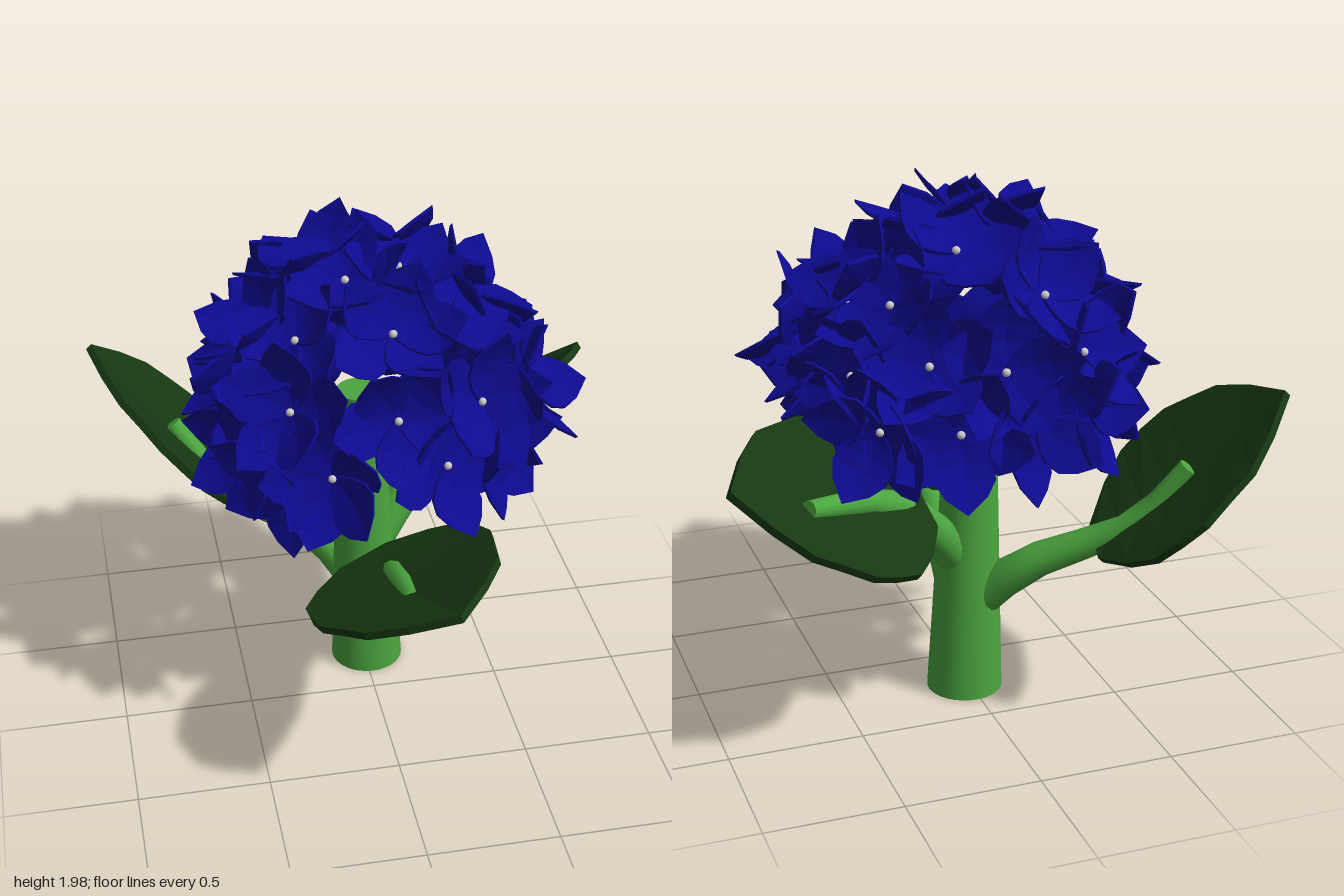
import * as THREE from 'three';

const V = (x, y, z) => new THREE.Vector3(x, y, z);
const material = (color, flatShading = false) =>
  new THREE.MeshStandardMaterial({ color, flatShading, side: THREE.DoubleSide });

const stemMat = material(0x4ba53f);
const leafMat = material(0x173812, true);
const petalMat = material(0x0e0a90, true);
const beadMat = material(0xcccccc);

// Seeded random numbers
let seed = 11;
const rnd = () => (seed = (seed * 16807) % 2147483647) / 2147483647;
const jitter = (a) => (rnd() - 0.5) * 2 * a;

// Half width (0..1) along a blade, linear between a few points
function profileAt(profile, u) {
  for (let i = 1; i < profile.length; i++) {
    const [u0, w0] = profile[i - 1], [u1, w1] = profile[i];
    if (u <= u1) return w0 + ((w1 - w0) * (u - u0)) / (u1 - u0);
  }
  return 0;
}

// Thin pointed plate along +x, width along y, lifted along z by a rule
function blade(length, halfWidth, thickness, profile, segments, lift) {
  const g = new THREE.BoxGeometry(1, 2, thickness, segments, 2);
  const p = g.attributes.position;
  for (let i = 0; i < p.count; i++) {
    const u = p.getX(i) + 0.5, v = p.getY(i);
    p.setXYZ(i, u * length, v * halfWidth * profileAt(profile, u), p.getZ(i) + lift(u, v));
  }
  g.computeVertexNormals();
  return g;
}

// Tube along a curve whose radius shrinks from r0 to r1, closed at its tip
function taperedBranch(name, points, r0, r1) {
  const curve = new THREE.CatmullRomCurve3(points);
  const rings = 6, sides = 14;
  const g = new THREE.TubeGeometry(curve, rings, 1, sides);
  const p = g.attributes.position, v = V(0, 0, 0);
  for (let i = 0; i < p.count; i++) {
    const t = Math.floor(i / (sides + 1)) / rings;
    const c = curve.getPointAt(t);
    v.fromBufferAttribute(p, i).sub(c).multiplyScalar(r0 + (r1 - r0) * t).add(c);
    p.setXYZ(i, v.x, v.y, v.z);
  }
  const branch = new THREE.Group();
  branch.name = name;
  const tube = new THREE.Mesh(g, stemMat);
  tube.name = 'branchTube';
  const cap = new THREE.Mesh(new THREE.CircleGeometry(r1, sides), stemMat);
  cap.name = 'branchEnd';
  cap.position.copy(curve.getPointAt(1));
  cap.quaternion.setFromUnitVectors(V(0, 0, 1), curve.getTangentAt(1));
  branch.add(tube, cap);
  return branch;
}

// Leaf from base to tip; side points towards the blade's left edge
function leaf(name, base, tip, side) {
  const profile = [[0, 0.28], [0.125, 0.68], [0.25, 0.93], [0.4, 1], [0.5, 1], [0.75, 0.76], [0.875, 0.44], [1, 0]];
  const along = tip.clone().sub(base);
  const g = blade(along.length(), 0.36, 0.03, profile, 8,
    (u, v) => (0.025 - 0.055 * (1 - v * v)) * Math.sin(Math.PI * u));
  const x = along.normalize();
  const z = x.clone().cross(side).normalize();
  const y = z.clone().cross(x);
  const m = new THREE.Mesh(g, leafMat);
  m.name = name;
  m.quaternion.setFromRotationMatrix(new THREE.Matrix4().makeBasis(x, y, z));
  m.position.copy(base);
  return m;
}

// One blossom facing +z: five cupped, pointed petals and a small bead
const petalProfile = [[0, 0.12], [0.2, 0.6], [0.4, 0.95], [0.6, 1], [0.8, 0.68], [1, 0]];
const petalGeo = blade(0.255, 0.105, 0.012, petalProfile, 5,
  (u, v) => 0.09 * u * u + 0.03 * u - 0.015 * (1 - v * v) * Math.sin(Math.PI * u));
const beadGeo = new THREE.SphereGeometry(0.015, 10, 8);

function blossom() {
  const f = new THREE.Group();
  f.name = 'blossom';
  for (let i = 0; i < 5; i++) {
    const petal = new THREE.Mesh(petalGeo, petalMat);
    petal.name = 'petal';
    petal.rotation.set(jitter(0.25), jitter(0.2), (i / 5) * Math.PI * 2 + jitter(0.1), 'ZYX');
    petal.position.z = (i % 2) * 0.008;
    f.add(petal);
  }
  const bead = new THREE.Mesh(beadGeo, beadMat);
  bead.name = 'blossomCentre';
  bead.position.z = 0.02;
  f.add(bead);
  return f;
}

// Centres of the blossoms over the dome
const blossomCentres = [
  // crown
  [-0.09, 1.79, -0.06], [0.11, 1.79, -0.13], [-0.19, 1.77, -0.28], [0.1, 1.75, -0.38],
  // shoulder
  [0.04, 1.66, 0.12], [0.28, 1.65, 0.03], [0.4, 1.62, -0.2], [0.33, 1.58, -0.38],
  [-0.15, 1.62, -0.55], [-0.38, 1.57, -0.2], [-0.28, 1.6, 0.0],
  // middle
  [-0.33, 1.42, 0.18], [0.03, 1.4, 0.27], [0.33, 1.44, 0.26], [0.54, 1.4, 0.09], [0.53, 1.4, -0.17],
  [0.47, 1.35, -0.38], [0.26, 1.42, -0.58], [0.02, 1.4, -0.65], [-0.3, 1.4, -0.54], [-0.48, 1.4, -0.28],
  // lower rim
  [-0.2, 1.19, 0.27], [0.21, 1.19, 0.26], [0.42, 1.2, 0.18], [0.5, 1.2, -0.03], [0.5, 1.19, -0.3],
  [0.42, 1.2, -0.54], [0.18, 1.2, -0.66], [-0.09, 1.2, -0.67], [-0.33, 1.19, -0.55],
  [-0.46, 1.18, -0.26], [-0.47, 1.19, 0], [-0.39, 1.11, 0.15],
];

export function createModel() {
  seed = 11;
  const model = new THREE.Group();
  model.name = 'floweringPlant';

  // Main stem, leaning very slightly
  const stemGeo = new THREE.CylinderGeometry(0.088, 0.143, 1.25, 32);
  stemGeo.translate(0, 0.625, 0);
  const sp = stemGeo.attributes.position;
  for (let i = 0; i < sp.count; i++) sp.setX(i, sp.getX(i) - 0.02 * sp.getY(i));
  const stem = new THREE.Mesh(stemGeo, stemMat);
  stem.name = 'mainStem';
  stem.position.set(0.015, 0, -0.24);
  model.add(stem);

  // Side branches
  model.add(
    taperedBranch('frontBranch',
      [V(0.03, 0.36, -0.22), V(0.03, 0.5, -0.06), V(0.03, 0.68, 0.17), V(0.03, 0.76, 0.34), V(0.03, 0.82, 0.56)], 0.08, 0.035),
    taperedBranch('leftBranch',
      [V(0.04, 0.54, -0.25), V(0.22, 0.75, -0.33), V(0.4, 0.88, -0.42), V(0.71, 0.97, -0.61)], 0.08, 0.035),
    taperedBranch('rightBranch',
      [V(-0.01, 0.35, -0.26), V(-0.17, 0.53, -0.38), V(-0.38, 0.63, -0.47), V(-0.54, 0.73, -0.56), V(-0.7, 0.95, -0.63)], 0.08, 0.035),
  );

  // Leaves
  model.add(
    leaf('frontLeaf', V(-0.05, 0.68, 0.07), V(0.11, 1.02, 0.97), V(0.67, 0.26, 0)),
    leaf('leftLeaf', V(0.22, 0.82, -0.38), V(1, 1.1, -0.69), V(-0.05, -0.36, -0.64)),
    leaf('rightLeaf', V(-0.41, 0.63, -0.49), V(-1, 1.25, -0.78), V(-0.23, 0.23, 1)),
  );

  // Domed head of blossoms, each facing away from the middle of the dome
  const head = new THREE.Group();
  head.name = 'flowerHead';
  for (const [x, y, z] of blossomCentres) {
    const f = blossom();
    const out = V(x - 0.03, (y - 1.18) * 0.85, z + 0.2).normalize();
    const tilt = Math.asin(out.y);
    f.position.set(x, y, z);
    f.rotation.set(-tilt + jitter(0.15), Math.atan2(out.x, out.z) + jitter(0.12), rnd() * 6.28, 'YXZ');
    head.add(f);
  }
  model.add(head);
  return model;
}
